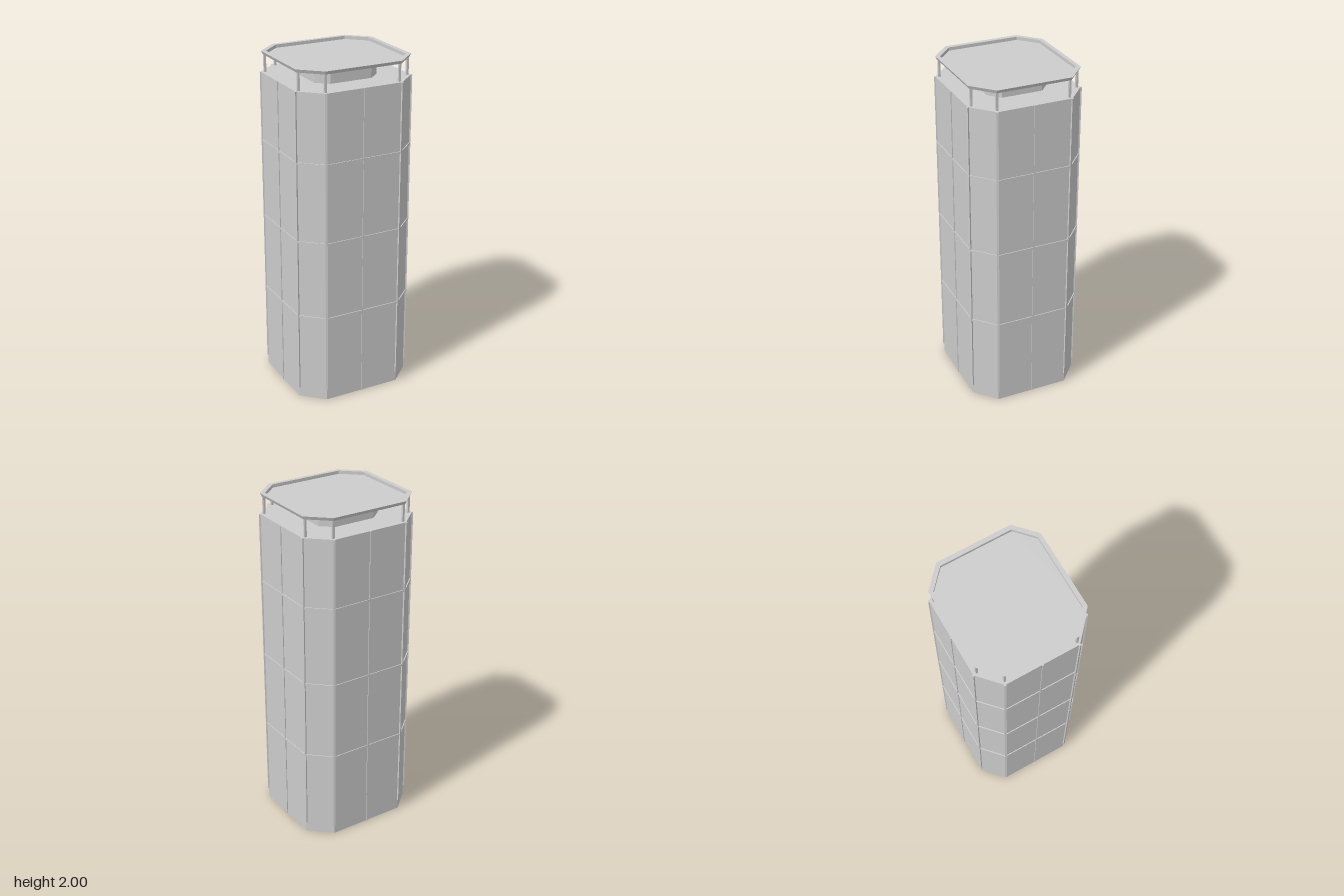
import * as THREE from 'three';

const grey = new THREE.MeshStandardMaterial({ color: 0xcccccc, side: THREE.DoubleSide });
grey.name = 'light grey';

// Chamfered rectangle: half sizes hx, hz; half lengths of the straight faces fx, fz
const octagon = (hx, hz, fx, fz) => [
  [hx, -fz], [hx, fz], [fx, hz], [-fx, hz],
  [-hx, fz], [-hx, -fz], [-fx, -hz], [fx, -hz],
];

// Flat-faced skin through a list of [octagon, height] sections
function loft(sections) {
  const v = [];
  for (let s = 0; s < sections.length - 1; s++) {
    const [a, ya] = sections[s], [b, yb] = sections[s + 1];
    for (let i = 0; i < 8; i++) {
      const j = (i + 1) % 8;
      const a0 = [a[i][0], ya, a[i][1]], a1 = [a[j][0], ya, a[j][1]];
      const b0 = [b[i][0], yb, b[i][1]], b1 = [b[j][0], yb, b[j][1]];
      v.push(...a0, ...b0, ...a1, ...b0, ...b1, ...a1);
    }
  }
  const g = new THREE.BufferGeometry();
  g.setAttribute('position', new THREE.Float32BufferAttribute(v, 3));
  g.computeVertexNormals();
  return g;
}

// Horizontal octagonal sheet facing up
function sheet(oct, y) {
  const shape = new THREE.Shape(oct.map(([x, z]) => new THREE.Vector2(x, -z)));
  return new THREE.ShapeGeometry(shape).rotateX(-Math.PI / 2).translate(0, y, 0);
}

export function createModel() {
  const model = new THREE.Group();
  model.name = 'tower';
  const add = (name, geometry, parent = model) => {
    const m = new THREE.Mesh(geometry, grey);
    m.name = name;
    parent.add(m);
    return m;
  };
  const group = (name) => {
    const g = new THREE.Group();
    g.name = name;
    model.add(g);
    return g;
  };
  const upright = (name, parent, x, z, y0, y1, w, angle = 0) => {
    const m = add(name, new THREE.BoxGeometry(w, y1 - y0, w), parent);
    m.position.set(x, (y0 + y1) / 2, z);
    m.rotation.y = angle;
  };

  // Walls, open at the bottom, with a roof deck
  const deckY = 1.88;
  const wall = octagon(0.36, 0.335, 0.235, 0.22);
  add('walls', loft([[wall, 0], [wall, deckY]]));
  add('roofDeck', sheet(wall, deckY));

  // Horizontal bands
  const bands = group('bands');
  const bandOuter = octagon(0.365, 0.34, 0.238, 0.223);
  for (const y of [0.535, 1.005, 1.475]) {
    const lo = y - 0.006, hi = y + 0.006;
    add('band', loft([[wall, lo], [bandOuter, lo], [bandOuter, hi], [wall, hi]]), bands);
  }

  // Vertical strips: mid-face to the ground, corner strips stop short of it
  const strips = group('mullions');
  for (const s of [-1, 1]) {
    upright('faceMullion', strips, s * 0.36, 0, 0, deckY, 0.01);
    upright('faceMullion', strips, 0, s * 0.335, 0, deckY, 0.01);
  }
  for (const [x, z] of wall) {
    const nearSide = Math.abs(x) > 0.3;
    const angle = -Math.sign(x) * Math.sign(z) * (nearSide ? 0.37 : 1.2);
    upright('cornerMullion', strips, x, z, 0.06, deckY, 0.012, angle);
  }

  // Low plant room on the deck
  const room = octagon(0.195, 0.18, 0.127, 0.12);
  add('plantRoomWalls', loft([[room, deckY], [room, 1.94]]));
  add('plantRoomTop', sheet(room, 1.94));

  // Posts carrying the canopy
  const posts = group('canopyPosts');
  for (const [x, z] of octagon(0.338, 0.313, 0.228, 0.213))
    upright('post', posts, x, z, deckY, 1.982, 0.013);

  // Canopy sheet with a slightly flared raised rim
  const rimLow = octagon(0.348, 0.323, 0.232, 0.217);
  const rimTop = octagon(0.357, 0.332, 0.235, 0.22);
  const rimIn = octagon(0.33, 0.308, 0.223, 0.21);
  add('canopy', sheet(rimLow, 1.981));
  add('canopyRim', loft([[rimLow, 1.981], [rimTop, 2], [rimIn, 2], [rimIn, 1.981]]));

  return model;
}
